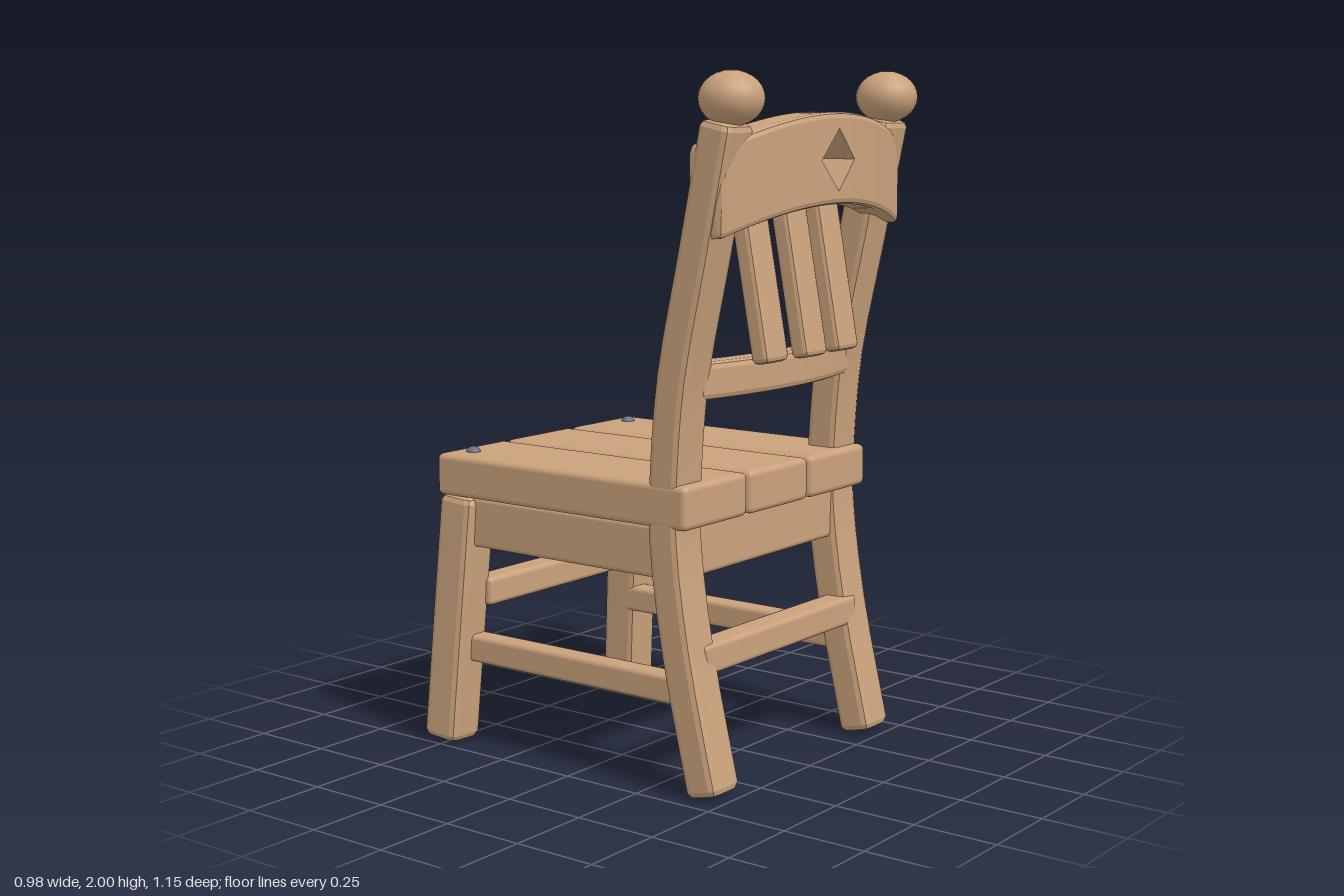
import * as THREE from 'three';
import { toCreasedNormals } from 'three/addons/utils/BufferGeometryUtils.js';
import { RoundedBoxGeometry } from 'three/addons/geometries/RoundedBoxGeometry.js';

const V = (x, y, z) => new THREE.Vector3(x, y, z);
const X = V(1, 0, 0), Y = V(0, 1, 0), Z = V(0, 0, 1);

// Rectangle with rounded corners in the plane of u and v; rTop / rBottom are the radii on the +u / -u sides
function ring(c, u, v, hu, hv, rTop, rBottom = rTop) {
  const points = [];
  [[1, 1], [-1, 1], [-1, -1], [1, -1]].forEach(([su, sv], corner) => {
    const r = Math.min(su > 0 ? rTop : rBottom, hu, hv);
    for (let i = 0; i < 3; i++) {
      const a = (corner + i / 2) * Math.PI / 2;
      points.push(c.clone()
        .addScaledVector(u, su * (hu - r) + r * Math.cos(a))
        .addScaledVector(v, sv * (hv - r) + r * Math.sin(a)));
    }
  });
  return points;
}

// Skin a row of rings, with the faces turned outward
function loft(rings, capped = true) {
  const tris = [], n = rings[0].length, last = rings[rings.length - 1];
  for (let i = 0; i < rings.length - 1; i++) {
    for (let j = 0; j < n; j++) {
      const k = (j + 1) % n, [a, b] = [rings[i], rings[i + 1]];
      tris.push([a[j], a[k], b[k]], [a[j], b[k], b[j]]);
    }
  }
  if (capped) {
    for (let j = 1; j < n - 1; j++) {
      tris.push([rings[0][0], rings[0][j + 1], rings[0][j]], [last[0], last[j], last[j + 1]]);
    }
  }
  const all = rings.flat(), mid = V(0, 0, 0);
  all.forEach(p => mid.addScaledVector(p, 1 / all.length));
  let volume = 0;
  for (const [a, b, c] of tris) {
    volume += a.clone().sub(mid).dot(b.clone().sub(mid).cross(c.clone().sub(mid)));
  }
  const points = tris.flatMap(([a, b, c]) => (volume > 0 ? [a, b, c] : [a, c, b]));
  return toCreasedNormals(new THREE.BufferGeometry().setFromPoints(points), 0.3);
}

// Beam swept along points, with rounded long edges and bevelled ends
function beam(path, ref, hu, hv, r = 0.018) {
  const rings = [], n = path.length;
  path.forEach((p, i) => {
    const t = path[Math.min(i + 1, n - 1)].clone().sub(path[Math.max(i - 1, 0)]).normalize();
    const v = t.clone().cross(ref).normalize(), u = v.clone().cross(t);
    const full = c => ring(c, u, v, hu, hv, r);
    const inset = (c, d) => ring(c, u, v, hu - d, hv - d, r);
    if (i === 0) {
      rings.push(inset(p, r), inset(p.clone().addScaledVector(t, r * 0.3), r * 0.3), full(p.clone().addScaledVector(t, r)));
    } else if (i === n - 1) {
      rings.push(full(p.clone().addScaledVector(t, -r)), inset(p.clone().addScaledVector(t, -r * 0.3), r * 0.3), inset(p, r));
    } else rings.push(full(p));
  });
  return loft(rings);
}

export function createModel() {
  const chair = new THREE.Group();
  chair.name = 'chair';
  const wood = new THREE.MeshStandardMaterial({ color: 0xcaa27c });
  wood.name = 'wood';
  const metal = new THREE.MeshStandardMaterial({ color: 0x6c6f80 });
  metal.name = 'nail metal';

  const add = (name, geometry, material = wood) => {
    const mesh = new THREE.Mesh(geometry, material);
    mesh.name = name;
    chair.add(mesh);
    return mesh;
  };
  // Rounded board given by its extents
  const board = (name, x0, x1, y0, y1, z0, z1, r = 0.015) =>
    add(name, new RoundedBoxGeometry(x1 - x0, y1 - y0, z1 - z0, 2, r))
      .position.set((x0 + x1) / 2, (y0 + y1) / 2, (z0 + z1) / 2);

  // Seat planks
  for (const [x0, x1] of [[-0.457, -0.16], [-0.147, 0.147], [0.16, 0.457]]) {
    board('seatPlank', x0, x1, 0.755, 0.88, -0.537, 0.388, 0.018);
  }

  for (const s of [-1, 1]) {
    // Back leg and post, bent in profile
    const bends = [[0.01, 0.44], [0.4, 0.35], [0.72, 0.305], [0.9, 0.307], [1.17, 0.332], [1.5, 0.402], [1.865, 0.478]];
    const curve = new THREE.CatmullRomCurve3(bends.map(([y, z]) => V(s * 0.3925, y, z)));
    add('backLeg', beam(curve.getPoints(18), X, 0.063, 0.052, 0.02));

    // Ball finial
    const ball = add('finial', new THREE.SphereGeometry(0.09, 18, 14));
    ball.scale.y = 0.83;
    ball.position.set(s * 0.388, 1.925, 0.487);

    // Splayed front leg
    add('frontLeg', beam([V(s * 0.43, 0.008, -0.518), V(s * 0.414, 0.38, -0.492), V(s * 0.398, 0.755, -0.465)], X, 0.061, 0.061, 0.02));

    // Side apron and stretcher
    const side = s * 0.39;
    board('sideApron', side - 0.04, side + 0.04, 0.605, 0.757, -0.45, 0.3);
    board('sideStretcher', side - 0.035, side + 0.035, 0.25, 0.333, -0.48, 0.355);

    // Nail near the front corner
    const nail = add('nail', new THREE.SphereGeometry(0.022, 14, 6, 0, Math.PI * 2, 0, Math.PI / 2), metal);
    nail.scale.y = 0.75;
    nail.position.set(s * 0.37, 0.879, -0.467);
  }

  // Front and back aprons and stretchers
  board('frontApron', -0.37, 0.37, 0.605, 0.757, -0.52, -0.41);
  board('backApron', -0.37, 0.37, 0.605, 0.757, 0.27, 0.345);
  board('frontStretcher', -0.37, 0.37, 0.415, 0.5, -0.49, -0.405);
  board('backStretcher', -0.385, 0.385, 0.338, 0.425, 0.325, 0.41);

  // Curved lower back rail
  const railPath = [];
  for (let i = -8; i <= 8; i++) railPath.push(V(i * 0.046, 1.157, 0.384 - 0.05 * (i / 8) ** 2));
  add('lowerBackRail', beam(railPath, Y, 0.053, 0.043));

  // Slats, leaning against the slope of the posts
  for (const i of [-1, 0, 1]) {
    const x = i * 0.18, dz = i ? -0.01 : 0;
    add('backSlat', beam([V(x, 1.2, 0.486 + dz), V(x, 1.42, 0.445 + dz), V(x, 1.65, 0.402 + dz)], X, 0.054, 0.029, 0.014));
  }

  // Arched and bowed crest rail, in pieces around a diamond opening
  const half = 0.447, dx = 0.083, dy = 0.086, midY = 1.755, r = 0.016;
  const sag = x => (x / half) ** 2;
  const low = x => 1.632 - 0.08 * sag(x), high = x => 1.886 - 0.085 * sag(x);
  const section = (x, y0, y1, rTop, rBottom, d = 0) =>
    ring(V(x, (y0 + y1) / 2, 0.519 - 0.078 * sag(x)), Y, Z, (y1 - y0) / 2 - d, 0.057 - d, rTop, rBottom);
  const notch = x => dy * (1 - Math.abs(x) / dx);
  for (const s of [-1, 1]) {
    const rings = [];
    for (let i = 0; i <= 10; i++) {
      const x = s * (dx + (half - r - dx) * i / 10);
      rings.push(section(x, low(x), high(x), r, r));
    }
    const e = s * half;
    rings.push(section(e - s * r * 0.3, low(e), high(e), r, r, r * 0.3), section(e, low(e), high(e), r, r, r));
    add('crestRailSide', loft(rings));
  }
  const upper = [], lower = [];
  for (let i = -4; i <= 4; i++) {
    const x = dx * i / 4;
    upper.push(section(x, midY + notch(x), high(x), r, 0));
    lower.push(section(x, low(x), midY - notch(x), 0, r));
  }
  add('crestRailAboveDiamond', loft(upper, false));
  add('crestRailBelowDiamond', loft(lower, false));

  return chair;
}
